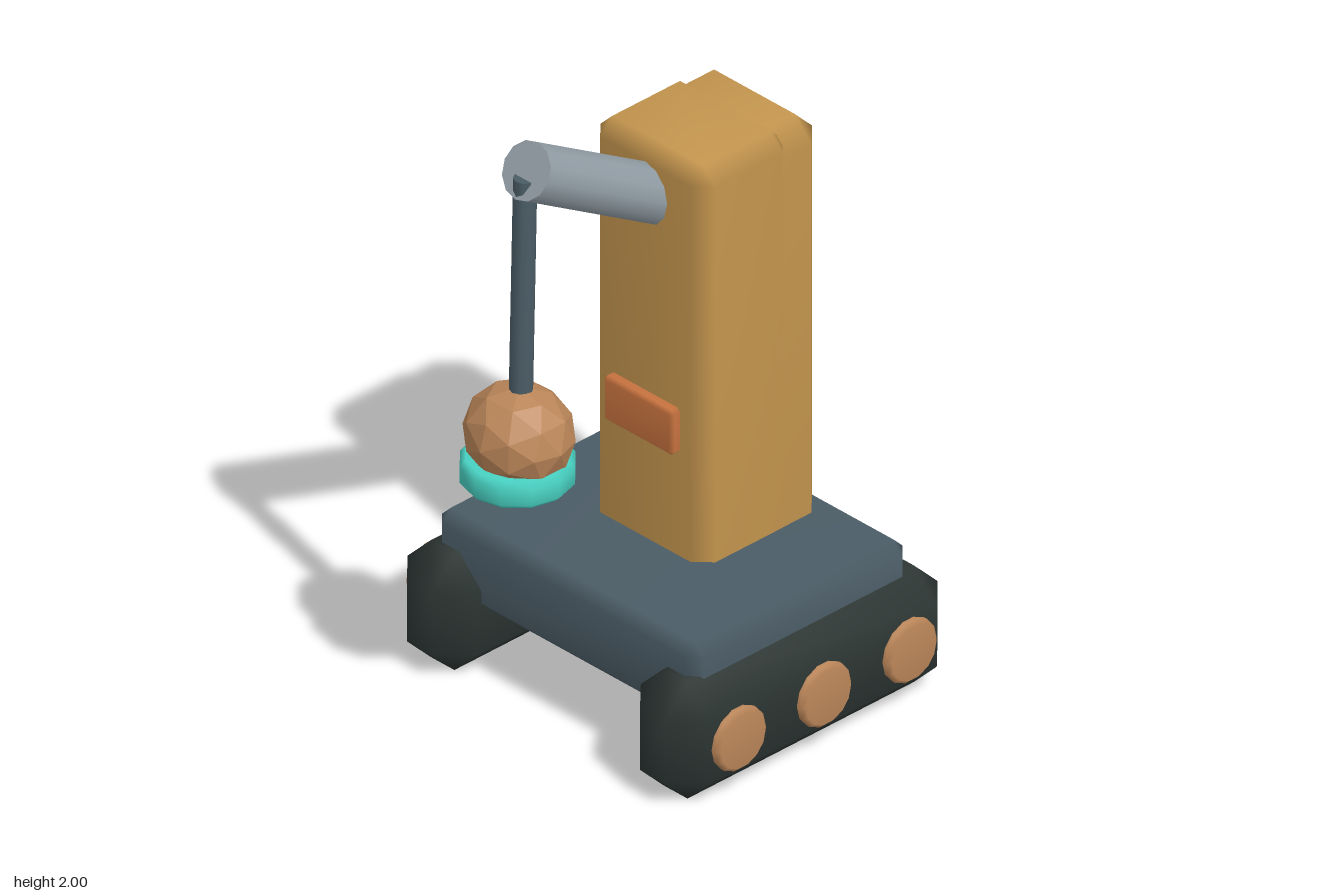
import * as THREE from 'three';

const mat = (name, color) => new THREE.MeshStandardMaterial({ name, color });

// Box with single-step chamfered edges and soft normals, given by its min and max corners
function chamferBox(min, max, c) {
  const size = max.map((v, i) => v - min[i]);
  const mid = max.map((v, i) => (v + min[i]) / 2);
  const pos = [], idx = [];
  // three vertices per corner: vertex a touches the face of axis a
  const id = (s, a) => ((s[0] > 0 ? 4 : 0) + (s[1] > 0 ? 2 : 0) + (s[2] > 0 ? 1 : 0)) * 3 + a;
  const signs = [-1, 1];
  for (const x of signs) for (const y of signs) for (const z of signs)
    for (let a = 0; a < 3; a++)
      [x, y, z].forEach((s, i) => pos.push(s * (size[i] / 2 - (i === a ? 0 : c))));
  const vec = (i) => new THREE.Vector3().fromArray(pos, i * 3);
  // add a triangle wound so that it faces away from the centre
  const tri = (a, b, d) => {
    const A = vec(a), n = vec(b).sub(A).cross(vec(d).sub(A));
    const centre = vec(a).add(vec(b)).add(vec(d));
    idx.push(...(n.dot(centre) > 0 ? [a, b, d] : [a, d, b]));
  };
  const quad = (a, b, d, e) => { tri(a, b, d); tri(a, d, e); };
  const corner = (a, sa, b, sb, d, sd) => { const s = []; s[a] = sa; s[b] = sb; s[d] = sd; return s; };
  for (let a = 0; a < 3; a++) {
    const b = (a + 1) % 3, d = (a + 2) % 3;
    for (const s of signs) {
      const f = (p, q) => id(corner(a, s, b, p, d, q), a);
      quad(f(-1, -1), f(1, -1), f(1, 1), f(-1, 1)); // main face
      for (const t of signs) { // edge between faces a and b
        const p = corner(a, s, b, t, d, -1), q = corner(a, s, b, t, d, 1);
        quad(id(p, a), id(q, a), id(q, b), id(p, b));
      }
    }
  }
  for (const x of signs) for (const y of signs) for (const z of signs)
    tri(id([x, y, z], 0), id([x, y, z], 1), id([x, y, z], 2));
  const g = new THREE.BufferGeometry();
  g.setAttribute('position', new THREE.Float32BufferAttribute(pos, 3));
  g.setIndex(idx);
  g.computeVertexNormals();
  return g.translate(...mid);
}

// Solid disc with bevelled rims, axis along y
function bevelDisc(r, h, bevel, sides) {
  const p = [[0, -h / 2], [r - bevel, -h / 2], [r, -h / 2 + bevel], [r, h / 2 - bevel], [r - bevel, h / 2], [0, h / 2]];
  return new THREE.LatheGeometry(p.map(([x, y]) => new THREE.Vector2(x, y)), sides);
}

// Cylinder running from point a to point b
function rod(a, b, r, sides) {
  const A = new THREE.Vector3(...a), B = new THREE.Vector3(...b);
  const dir = B.clone().sub(A);
  const g = new THREE.CylinderGeometry(r, r, dir.length(), sides);
  g.applyQuaternion(new THREE.Quaternion().setFromUnitVectors(new THREE.Vector3(0, 1, 0), dir.normalize()));
  return g.translate(...A.add(B).multiplyScalar(0.5).toArray());
}

export function createModel() {
  const model = new THREE.Group();
  model.name = 'trackedCrane';
  const slate = mat('slate', 0x4b5c66);
  const rubber = mat('darkRubber', 0x2b3432);
  const ochre = mat('ochre', 0xc4954e);
  const steel = mat('steel', 0x929ea6);
  const copper = mat('copper', 0xbb8659);
  const orange = mat('orange', 0xc8733f);
  const teal = mat('teal', 0x48d1c2);
  const copperFlat = copper;
  const add = (name, geometry, material) => {
    const m = new THREE.Mesh(geometry, material);
    m.name = name;
    model.add(m);
    return m;
  };

  // Chassis deck
  add('chassis', chamferBox([-0.535, 0.22, -0.55], [0.535, 0.49, 0.31], 0.038), slate);

  // Tracks with three hubs on each outer side
  for (const s of [-1, 1]) {
    const side = s > 0 ? 'left' : 'right';
    const xs = [s * 0.335, s * 0.618].sort((a, b) => a - b);
    add(side + 'Track', chamferBox([xs[0], 0, -0.66], [xs[1], 0.39, 0.42], 0.092), rubber);
    for (const z of [0.22, -0.117, -0.455]) {
      const hub = add(side + 'Hub', bevelDisc(0.102, 0.06, 0.014, 14), copper);
      hub.rotation.z = Math.PI / 2;
      hub.position.set(s * 0.613, 0.2, z);
    }
  }

  // Tower: main column with a sharper-edged front casing
  add('tower', chamferBox([-0.234, 0.4, -0.514], [0.234, 1.798, -0.016], 0.07), ochre);
  add('towerFrontCasing', chamferBox([-0.235, 0.4, -0.38], [0.235, 1.8, -0.014], 0.05), ochre);

  // Front panel
  add('frontPanel', chamferBox([-0.142, 0.835, -0.03], [0.142, 0.985, 0.02], 0.012), orange);

  // Boom and hanging rod
  add('boom', rod([0, 1.586, -0.12], [0, 1.926, 0.456], 0.089, 12), steel);
  add('hangingRod', rod([0, 1.905, 0.461], [0, 1.1, 0.48], 0.035, 10), slate);

  // Faceted weight: one normal per triangle
  const ball = new THREE.IcosahedronGeometry(1, 1).scale(0.173, 0.155, 0.155).toNonIndexed();
  ball.computeVertexNormals();
  add('weight', ball, copperFlat).position.set(0, 1.06, 0.485);

  // Magnet disc under the weight
  add('magnetDisc', bevelDisc(0.17, 0.09, 0.018, 12), teal).position.set(0, 0.946, 0.491);

  return model;
}
